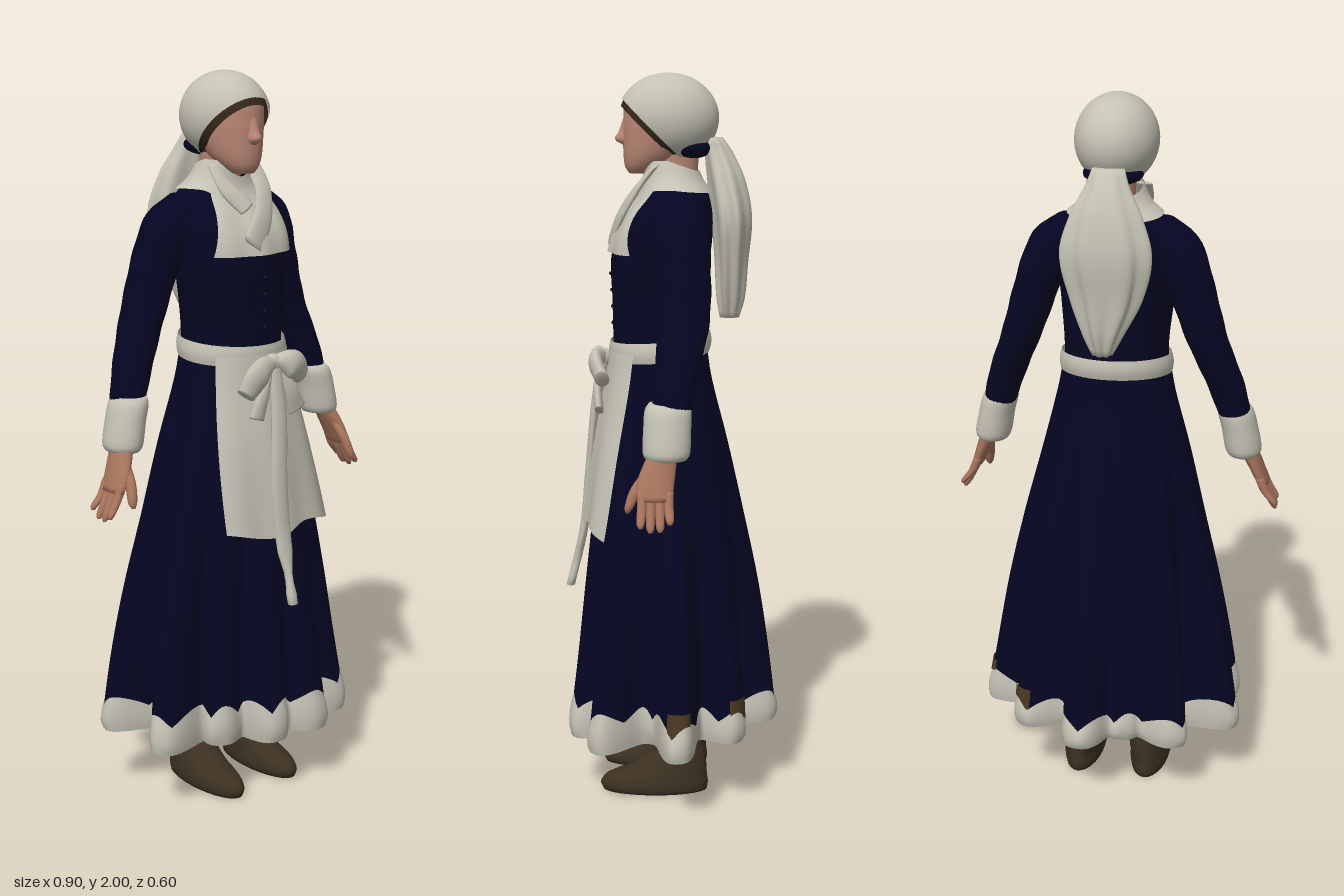
import * as THREE from 'three';

const mat = (name, color, side = THREE.DoubleSide) => new THREE.MeshStandardMaterial({ name, color, side });
const TAU = Math.PI * 2, { sin, cos, abs, max, min, pow, exp, hypot } = Math;
const lerp = THREE.MathUtils.lerp;

// Grid surface from fn(u, v) -> [x, y, z]; wrap joins u, caps close both ends
function grid(fn, nu, nv, wrap = false, caps = false) {
  const pos = [], idx = [], cols = wrap ? nu : nu + 1;
  for (let j = 0; j <= nv; j++) for (let i = 0; i < cols; i++) pos.push(...fn(i / nu, j / nv));
  for (let j = 0; j < nv; j++) for (let i = 0; i < nu; i++) {
    const a = j * cols + i, b = j * cols + (i + 1) % cols;
    idx.push(a, b, a + cols, b, b + cols, a + cols);
  }
  if (caps) for (const row of [0, nv]) {
    const c = [0, 0, 0], start = row * cols, k = pos.length / 3;
    for (let i = 0; i < cols; i++) for (let a = 0; a < 3; a++) c[a] += pos[(start + i) * 3 + a] / cols;
    pos.push(...c);
    for (let i = 0; i < cols; i++) {
      const a = start + i, b = start + (i + 1) % cols;
      if (row) idx.push(a, b, k); else idx.push(b, a, k);
    }
  }
  const g = new THREE.BufferGeometry();
  g.setAttribute('position', new THREE.Float32BufferAttribute(pos, 3));
  g.setIndex(idx);
  g.computeVertexNormals();
  return g;
}

// Smooth cross-section [y, cx, cz, rx, rz] at height y; sections ascend in y
function sample(S, y) {
  let i = 0;
  while (i < S.length - 2 && y > S[i + 1][0]) i++;
  const a = S[i], b = S[i + 1], p = S[max(0, i - 1)], n = S[min(S.length - 1, i + 2)];
  const h = b[0] - a[0], t = min(1, max(0, (y - a[0]) / h)), t2 = t * t, t3 = t2 * t;
  return a.map((_, k) => (2 * t3 - 3 * t2 + 1) * a[k] + (t3 - 2 * t2 + t) * h * (b[k] - p[k]) / (b[0] - p[0])
    + (3 * t2 - 2 * t3) * b[k] + (t3 - t2) * h * (n[k] - a[k]) / (n[0] - a[0]));
}
function at(S, y, th, k = 1, off = 0) {
  const [, cx, cz, rx, rz] = sample(S, y);
  return [cx + (rx * k + off) * sin(th), y, cz + (rz * k + off) * cos(th)];
}
function loft(S, n = 24, rows = 24, fold = () => 1) {
  const y0 = S[0][0], y1 = S[S.length - 1][0];
  return grid((u, v) => at(S, lerp(y0, y1, v), u * TAU, fold(u * TAU, v)), n, rows, true, true);
}

// Flat soft strip along a curve, wide across the curve and thin in z
function ribbon(points, width, thick = 0.012) {
  const c = new THREE.CatmullRomCurve3(points.map(p => new THREE.Vector3(...p)));
  return grid((u, v) => {
    const p = c.getPoint(v), t = c.getTangent(v), l = hypot(t.x, t.y) || 1, w = width(v);
    return [p.x + t.y / l * w * cos(u * TAU), p.y - t.x / l * w * cos(u * TAU), p.z + thick * sin(u * TAU)];
  }, 12, 24, true, true);
}

const TORSO = [[1.2, 0.005, 0.035, 0.15, 0.125], [1.3, 0.005, 0.035, 0.143, 0.129], [1.4, 0.003, 0.035, 0.15, 0.131],
  [1.5, 0, 0.034, 0.162, 0.135], [1.57, 0, 0.022, 0.175, 0.13], [1.63, 0, 0.004, 0.18, 0.112],
  [1.68, 0, -0.008, 0.135, 0.088], [1.72, 0, 0, 0.085, 0.07], [1.77, 0, 0.012, 0.058, 0.062]];
const SKIRT = [[0.17, 0.01, 0, 0.385, 0.308], [0.4, 0.005, 0, 0.348, 0.278], [0.6, 0.005, 0.005, 0.31, 0.25],
  [0.8, 0.005, 0.015, 0.263, 0.216], [1.0, 0.002, 0.026, 0.212, 0.18], [1.18, 0.004, 0.033, 0.164, 0.14],
  [1.27, 0.005, 0.035, 0.146, 0.128]];
// Outer tips of the skirt folds at the hem, as x and z
const TIPS = [[0.06, -0.3], [0.25, -0.19], [0.38, -0.02], [0.28, 0.22], [0.13, 0.29], [-0.03, 0.28], [-0.18, 0.2],
  [-0.36, 0.15], [-0.385, -0.08], [-0.23, -0.24], [-0.07, -0.23]]
  .map(([x, z]) => ({ th: Math.atan2(x / 0.385, z / 0.308), k: hypot(x / 0.385, z / 0.308) }));

function foldAt(th, y) {
  let k = 0.62;
  for (const tip of TIPS) {
    const d = abs(Math.atan2(sin(th - tip.th), cos(th - tip.th)));
    k = max(k, lerp(0.62, tip.k, exp(-pow(d / 0.225, 3))));
  }
  return lerp(1, k, pow(min(1, max(0, (1.24 - y) / 1.04)), 1.2));
}
const hemY = th => 0.19 - 0.015 * cos(th);
const trimY = th => 0.262 + 0.033 * abs(cos(th * 11));

export function createModel() {
  const model = new THREE.Group();
  const navy = mat('navy cloth', 0x050523), linen = mat('off-white linen', 0xc4c2b4), face = mat('face skin', 0xb98774),
    hand = mat('hand skin', 0xa9755d), hairM = mat('brown hair', 0x35281b), leather = mat('brown leather', 0x3b3021),
    brown = mat('brown cloth', 0x4a3722), dark = mat('dark buttons', 0x17151c);
  const add = (name, geo, m) => {
    const mesh = new THREE.Mesh(geo, m);
    mesh.name = name;
    model.add(mesh);
    return mesh;
  };

  // Skirt with deep folds, scalloped trim, two brown patches and lining
  const skirtPoint = (th, y, off = 0) => at(SKIRT, y, th, foldAt(th, y), off);
  add('skirt', grid((u, v) => skirtPoint(u * TAU, lerp(trimY(u * TAU), 1.27, v)), 176, 30, true), navy);
  add('hemTrim', grid((u, v) => skirtPoint(u * TAU, lerp(hemY(u * TAU), trimY(u * TAU), v),
    0.006 * sin(v * Math.PI) - 0.006 * pow(1 - v, 6)), 176, 6, true), linen);
  add('skirtLining', grid((u, v) => {
    const p = skirtPoint(u * TAU, hemY(u * TAU), -0.006);
    return [p[0] * (1 - v), p[1] + 0.035 * sin(v * Math.PI / 2), p[2] * (1 - v)];
  }, 176, 8, true), linen);
  for (const tip of TIPS.slice(1, 3)) add('hemPatch', grid((u, v) => {
    const th = tip.th + lerp(-0.11, 0.11, u);
    return skirtPoint(th, lerp(trimY(th) - 0.004, 0.325, v), 0.005);
  }, 10, 4), brown);

  // Bodice with front buttons
  add('bodice', grid((u, v) => at(TORSO, lerp(1.2, 1.72, v), u * TAU), 40, 36, true), navy);
  for (let i = 0; i < 4; i++) {
    const b = add('button', new THREE.SphereGeometry(0.005, 10, 8), dark);
    b.position.set(...at(TORSO, 1.33 + i * 0.045, 0.05));
  }

  // Neckerchief: square front, neck ring low at the nape, and crossed folds
  add('neckerchiefFront', grid((u, v) => {
    const y = lerp(1.525, 1.69, v), [, , , rx] = sample(TORSO, y);
    const x = lerp(lerp(-0.132, -0.09, v), lerp(0.145, 0.1, v), u);
    const th = Math.asin(min(0.97, max(-0.97, x / (rx + 0.01))));
    return at(TORSO, y, th, 1, 0.01 + 0.003 * sin(u * 16));
  }, 24, 14), linen);
  add('neckerchiefCollar', grid((u, v) => {
    const th = u * TAU, f = pow(max(0, cos(th)), 6), b = max(0, -cos(th));
    return at(TORSO, lerp(1.695 - 0.05 * f - 0.01 * b, 1.77 - 0.045 * f - 0.03 * b, v), th, 1, 0.012);
  }, 48, 10, true), linen);
  add('neckerchiefFold', ribbon([[0.065, 1.76, 0.045], [0.06, 1.69, 0.1], [0.025, 1.62, 0.142], [-0.03, 1.55, 0.167]],
    v => 0.026 + 0.012 * v, 0.01), linen);
  add('neckerchiefFold', ribbon([[-0.065, 1.76, 0.045], [-0.06, 1.7, 0.09], [-0.02, 1.645, 0.127]],
    () => 0.024, 0.01), linen);

  // Apron, waistband and bow
  add('apron', grid((u, v) => {
    const y = lerp(0.775 + 0.012 * cos(u * 9), 1.26, v);
    const th = lerp(lerp(-0.6, -0.92, v), lerp(0.84, 1.05, v), u);
    return at(SKIRT, y, th, 1, 0.012 + (1 - v) * (0.026 * u * u * u + 0.005 * sin(u * 17)));
  }, 36, 20), linen);
  add('waistband', grid((u, v) => {
    const th = u * TAU;
    return at(TORSO, lerp(1.24, 1.295, v) - 0.012 * cos(th), th, 1, 0.008 + 0.005 * sin(v * Math.PI));
  }, 48, 6, true), linen);
  const knot = add('bowKnot', new THREE.SphereGeometry(1, 16, 12), linen);
  knot.scale.set(0.028, 0.026, 0.022);
  knot.position.set(0.02, 1.235, 0.19);
  add('bowLoop', ribbon([[0.02, 1.24, 0.19], [-0.04, 1.22, 0.21], [-0.085, 1.16, 0.2]],
    v => 0.014 + 0.024 * sin(v * 2.6), 0.02), linen);
  add('bowLoop', ribbon([[0.02, 1.24, 0.19], [0.07, 1.23, 0.21], [0.125, 1.19, 0.19]],
    v => 0.014 + 0.026 * sin(v * 2.6), 0.02), linen);
  add('bowTail', ribbon([[0.01, 1.23, 0.19], [-0.025, 1.16, 0.205], [-0.045, 1.09, 0.2]], v => 0.012 + 0.013 * v), linen);
  add('bowTail', ribbon([[0.03, 1.23, 0.19], [0.07, 1.16, 0.205], [0.1, 1.1, 0.2]], v => 0.012 + 0.02 * v), linen);
  add('longSash', ribbon([[0.02, 1.24, 0.195], [0.022, 1.1, 0.215], [0.008, 0.9, 0.235], [0.012, 0.75, 0.25],
    [0.012, 0.58, 0.29]], v => 0.02 + 0.008 * sin(v * 3) - (v > 0.8 ? 0.006 : 0) - (v > 0.87 && v < 0.93 ? 0.006 : 0)), linen);

  // Head, neck and nose
  add('neck', loft([[1.6, 0, -0.015, 0.06, 0.06], [1.7, 0, -0.008, 0.052, 0.06], [1.83, 0, 0, 0.056, 0.07]], 20, 8), face);
  add('head', loft([[1.735, 0, 0.088, 0.03, 0.03], [1.752, 0, 0.075, 0.048, 0.054], [1.78, 0, 0.055, 0.066, 0.078],
    [1.82, 0, 0.034, 0.079, 0.1], [1.87, 0, 0.02, 0.087, 0.114], [1.93, 0, 0.012, 0.088, 0.112],
    [1.975, 0, 0.01, 0.055, 0.07]], 32, 30), face);
  add('nose', loft([[1.808, 0, 0.12, 0.012, 0.01], [1.824, 0, 0.124, 0.02, 0.032], [1.845, 0, 0.118, 0.02, 0.028],
    [1.89, 0, 0.112, 0.022, 0.018]], 24, 14), face);

  // Hair under a tilted headscarf cap
  const shell = (name, arc, sx, sy, sz, m) => {
    const g = new THREE.SphereGeometry(1, 40, 24, 0, TAU, 0, arc).rotateX(-0.85);
    add(name, g.scale(sx, sy, sz), m).position.set(0, 1.881, 0.013);
  };
  shell('hair', 2.13, 0.101, 0.113, 0.132, hairM);
  shell('headscarf', 1.97, 0.111, 0.119, 0.137, linen);
  const tie = add('napeTie', new THREE.SphereGeometry(1, 20, 12), navy);
  tie.scale.set(0.08, 0.03, 0.065);
  tie.position.set(0, 1.803, -0.045);

  // Hanging pleated end of the headscarf
  add('headscarfTail', loft([[1.345, 0.01, -0.155, 0.025, 0.024], [1.4, 0.008, -0.158, 0.05, 0.036], [1.5, 0, -0.16, 0.09, 0.043],
    [1.62, 0, -0.16, 0.115, 0.053], [1.72, 0, -0.145, 0.09, 0.05], [1.79, 0, -0.125, 0.056, 0.038],
    [1.83, 0, -0.11, 0.042, 0.025]], 60, 28, (th, v) => 1 + 0.12 * (1 - v * 0.7) * sin(th * 7 + v * 2)), linen);

  for (const s of [-1, 1]) {
    const side = (S) => S.map(([y, x, ...r]) => [y, x * s, ...r]);
    // Sleeve with turned-back cuff
    add('sleeve', loft(side([[1.1, 0.34, 0.008, 0.042, 0.048], [1.23, 0.302, -0.01, 0.051, 0.057], [1.36, 0.252, -0.03, 0.056, 0.067],
      [1.5, 0.207, -0.028, 0.063, 0.073], [1.59, 0.176, -0.02, 0.066, 0.075], [1.64, 0.155, -0.015, 0.059, 0.066],
      [1.68, 0.122, -0.01, 0.035, 0.04]]), 24, 36, (th, v) => 1 + 0.015 * sin(v * 40 + th)), navy);
    add('cuff', loft(side([[1.022, 0.354, 0.014, 0.042, 0.052], [1.035, 0.354, 0.014, 0.05, 0.061],
      [1.1, 0.342, 0.012, 0.05, 0.062], [1.15, 0.329, 0.01, 0.049, 0.06], [1.165, 0.325, 0.01, 0.04, 0.05]]), 24, 16), linen);
    // Hand with four close fingers and a thumb
    add('palm', loft(side([[0.925, 0.41, 0.044, 0.016, 0.046], [0.975, 0.39, 0.04, 0.021, 0.048],
      [1.05, 0.358, 0.02, 0.028, 0.036]]), 20, 10), hand);
    [0.872, 0.853, 0.851, 0.862].forEach((tip, i) => {
      const z = 0.007 + i * 0.023, zt = z + (i - 1.5) * 0.002;
      add('finger', loft(side([[tip, 0.446, zt, 0.005, 0.006], [tip + 0.01, 0.442, zt, 0.01, 0.0105],
        [0.91, 0.419, z, 0.0125, 0.0125], [0.95, 0.402, z, 0.013, 0.0125]]), 10, 10), hand);
    });
    add('thumb', loft(side([[0.89, 0.395, 0.114, 0.005, 0.005], [0.902, 0.395, 0.111, 0.012, 0.011],
      [0.95, 0.386, 0.09, 0.014, 0.017], [1.0, 0.378, 0.05, 0.014, 0.022]]), 12, 10), hand);
    // Ankle boot
    add('boot', loft(side([[0, 0.1, 0.05, 0.056, 0.148], [0.02, 0.1, 0.052, 0.06, 0.153], [0.045, 0.099, 0.043, 0.056, 0.141],
      [0.065, 0.096, 0.015, 0.053, 0.112], [0.1, 0.091, -0.012, 0.048, 0.082], [0.14, 0.084, -0.024, 0.043, 0.066],
      [0.2, 0.08, -0.026, 0.043, 0.066], [0.26, 0.08, -0.02, 0.05, 0.066]]), 28, 30), leather);
  }
  return model;
}
